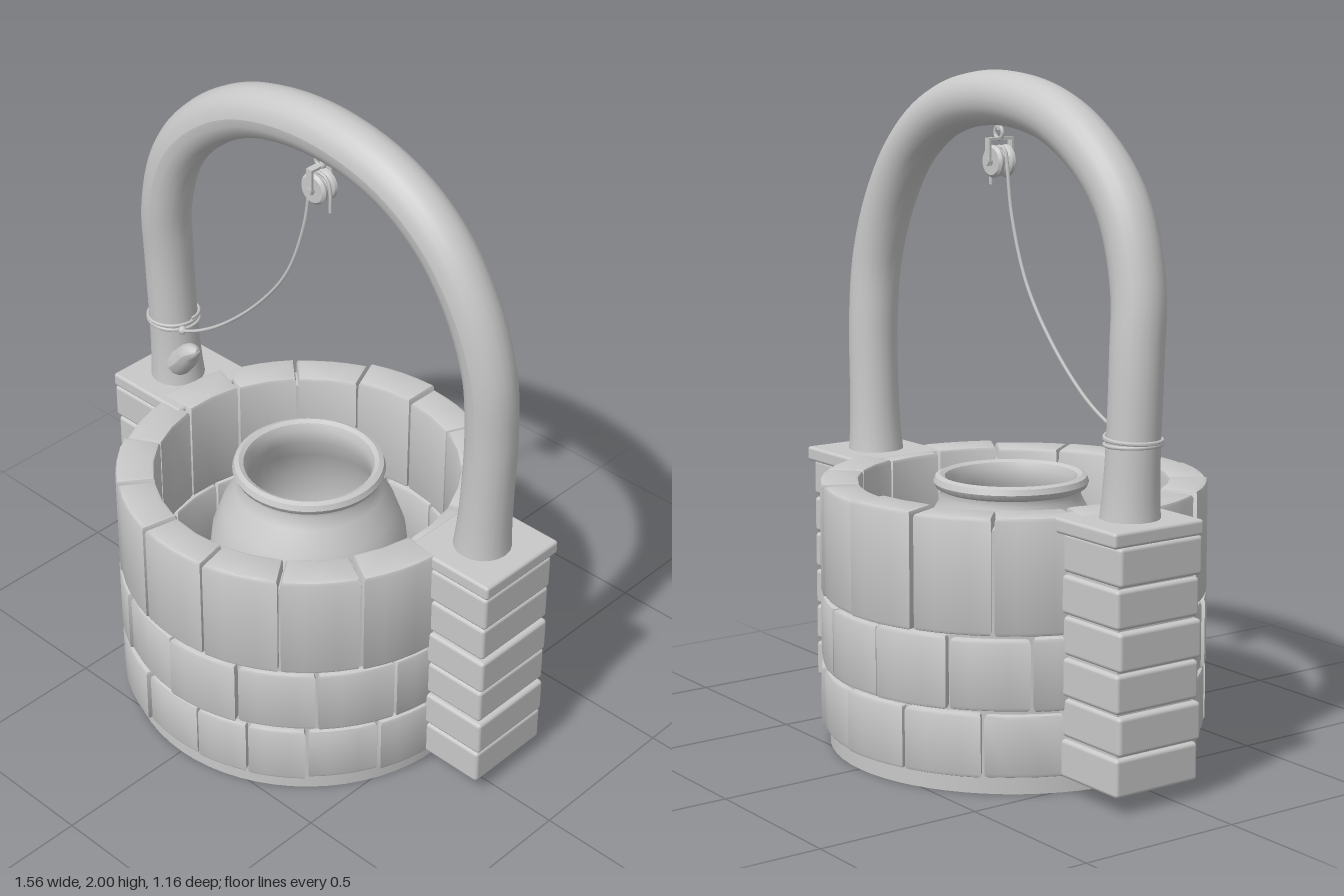
import * as THREE from 'three';
import { toCreasedNormals } from 'three/addons/utils/BufferGeometryUtils.js';
import { RoundedBoxGeometry } from 'three/addons/geometries/RoundedBoxGeometry.js';

const clay = new THREE.MeshStandardMaterial({ color: 0xc8c8c8, side: THREE.DoubleSide });
clay.name = 'plain grey';

const v = (x, y, z) => new THREE.Vector3(x, y, z);
const pts2 = (list) => list.map(([x, y]) => new THREE.Vector2(x, y));

function add(parent, name, geometry, x = 0, y = 0, z = 0) {
  const mesh = new THREE.Mesh(geometry, clay);
  mesh.name = name;
  mesh.position.set(x, y, z);
  parent.add(mesh);
  return mesh;
}

// Tube through points whose radius follows a rule along its length
function taperedTube(points, radiusAt, segments, sides) {
  const curve = new THREE.CatmullRomCurve3(points);
  const geo = new THREE.TubeGeometry(curve, segments, 1, sides);
  const pos = geo.attributes.position, c = v(0, 0, 0), p = v(0, 0, 0);
  for (let i = 0; i < pos.count; i++) {
    const t = Math.floor(i / (sides + 1)) / segments;
    curve.getPointAt(t, c);
    p.fromBufferAttribute(pos, i).sub(c).multiplyScalar(radiusAt(t)).add(c);
    pos.setXYZ(i, p.x, p.y, p.z);
  }
  geo.computeVertexNormals();
  return geo;
}

// Wedge-shaped stone with rounded edges between two angles (degrees from the front)
function stoneGeometry(from, to, y0, y1, inner, outer) {
  const b = 0.012, steps = 4, corners = [];
  const rad = THREE.MathUtils.degToRad;
  const corner = (r, a) => corners.push(new THREE.Vector2(r * Math.sin(a), -r * Math.cos(a)));
  const gap = b + 0.004;
  const a0 = rad(from), a1 = rad(to), ro = outer - b, ri = inner + b;
  for (let i = 0; i <= steps; i++) {
    corner(ro, THREE.MathUtils.lerp(a0 + gap / ro, a1 - gap / ro, i / steps));
  }
  for (let i = 2; i >= 0; i--) {
    corner(ri, THREE.MathUtils.lerp(a0 + gap / ri, a1 - gap / ri, i / 2));
  }
  const geo = new THREE.ExtrudeGeometry(new THREE.Shape(corners), {
    depth: y1 - y0 - 2 * b, bevelThickness: b, bevelSize: b, bevelSegments: 2,
  });
  geo.rotateX(-Math.PI / 2).translate(0, y0 + b, 0);
  return toCreasedNormals(geo, 0.6);
}

function buildWall() {
  const wall = new THREE.Group();
  wall.name = 'stoneWall';
  // Mortar ring behind the stones, with an open channel underneath
  const profile = pts2([[0.5, 0.03], [0.5, 0], [0.478, 0], [0.478, 0.76], [0.553, 0.76],
    [0.553, 0], [0.525, 0], [0.525, 0.03]]);
  add(wall, 'mortarRing', toCreasedNormals(new THREE.LatheGeometry(profile, 64), 0.5));

  const even = (start) => Array.from({ length: 15 }, (_, i) => start + i * 24);
  const rows = [
    { y0: 0.05, y1: 0.237, joints: [9, 26, 44, 66, 87, 108, 128, 153, 177, 201, 225, 249, 273, 298, 322, 347] },
    { y0: 0.243, y1: 0.455, joints: even(-1) },
    { y0: 0.46, y1: 0.8, joints: even(12) },
  ];
  rows.forEach(({ y0, y1, joints }, r) => joints.forEach((from, i) => {
    const to = i + 1 < joints.length ? joints[i + 1] : joints[0] + 360;
    const wobble = Math.sin(i * 2.4 + r * 1.7);
    add(wall, 'wallStone', stoneGeometry(from, to, y0, y1 + 0.004 * wobble, 0.46, 0.574 + 0.005 * wobble));
  }));
  return wall;
}

function buildPillar(side) {
  const pillar = new THREE.Group();
  pillar.name = side > 0 ? 'leftPillar' : 'rightPillar';
  for (let i = 0; i < 6; i++) {
    const shift = (i % 2) * 0.007;
    add(pillar, 'pillarBlock', new RoundedBoxGeometry(0.28, 0.112, 0.292, 2, 0.012),
      side * (0.632 + shift), 0.106 + i * 0.1185, -0.073 + shift * 0.6);
  }
  add(pillar, 'pillarCore', new THREE.BoxGeometry(0.25, 0.7, 0.265), side * 0.632, 0.41, -0.073);
  add(pillar, 'pillarCap', new RoundedBoxGeometry(0.3, 0.045, 0.315, 2, 0.01), side * 0.632, 0.777, -0.08);
  return pillar;
}

function buildArch() {
  const arch = new THREE.Group();
  arch.name = 'bentTrunkArch';
  const path = [
    v(-0.643, 0.77, -0.075), v(-0.65, 1.0, -0.07), v(-0.65, 1.25, -0.06), v(-0.635, 1.43, -0.045),
    v(-0.57, 1.63, -0.04), v(-0.455, 1.77, -0.045), v(-0.27, 1.88, -0.05), v(0, 1.923, -0.05),
    v(0.27, 1.877, -0.045), v(0.45, 1.765, -0.045), v(0.57, 1.6, -0.05), v(0.637, 1.4, -0.06),
    v(0.648, 1.2, -0.07), v(0.642, 1.0, -0.073), v(0.63, 0.77, -0.075),
  ];
  const radius = (t) => 0.073 + 0.007 * Math.sin(Math.PI * t) + 0.016 * Math.pow(Math.abs(2 * t - 1), 14);
  add(arch, 'trunk', taperedTube(path, radius, 90, 20));
  // Short stub of a cut branch on the right leg
  const stub = [v(-0.6, 0.87, -0.04), v(-0.555, 0.915, -0.03), v(-0.525, 0.95, -0.02), v(-0.485, 0.975, -0.015)];
  add(arch, 'branchStub', taperedTube(stub, (t) => 0.043 * Math.sqrt(1 - t * t * 0.97), 14, 12));
  return arch;
}

function buildPulley() {
  const pulley = new THREE.Group();
  pulley.name = 'pulley';
  // Grooved wheel turning about the z axis
  const wheel = pts2([[0, -0.032], [0.04, -0.032], [0.048, -0.024], [0.046, -0.014], [0.028, 0],
    [0.046, 0.014], [0.048, 0.024], [0.04, 0.032], [0, 0.032]]);
  add(pulley, 'wheel', toCreasedNormals(new THREE.LatheGeometry(wheel, 24).rotateX(Math.PI / 2), 0.6), 0, 1.74, -0.05);
  add(pulley, 'axle', new THREE.CylinderGeometry(0.012, 0.012, 0.096, 12).rotateX(Math.PI / 2), 0, 1.74, -0.05);
  for (const s of [-1, 1]) {
    add(pulley, 'bracketArm', new THREE.BoxGeometry(0.022, 0.075, 0.007), 0, 1.768, -0.05 + s * 0.04);
  }
  add(pulley, 'bracketTop', new THREE.BoxGeometry(0.022, 0.008, 0.087), 0, 1.805, -0.05);
  add(pulley, 'hangingRing', new THREE.TorusGeometry(0.018, 0.006, 8, 18), 0.003, 1.822, -0.05);
  add(pulley, 'hook', new THREE.CylinderGeometry(0.008, 0.008, 0.04, 10), 0, 1.85, -0.05);
  return pulley;
}

function buildRope() {
  const rope = new THREE.Group();
  rope.name = 'rope';
  const strand = (name, points, n) =>
    add(rope, name, new THREE.TubeGeometry(new THREE.CatmullRomCurve3(points), n, 0.0055, 7));
  strand('slackRope', [v(0.042, 1.67, -0.05), v(0.041, 1.74, -0.05), v(0.028, 1.772, -0.05), v(0, 1.782, -0.05),
    v(-0.028, 1.772, -0.05), v(-0.038, 1.73, -0.05), v(-0.06, 1.59, -0.05), v(-0.13, 1.4, -0.05),
    v(-0.25, 1.24, -0.05), v(-0.4, 1.1, -0.045), v(-0.5, 1.035, -0.035), v(-0.575, 1.005, -0.025)], 60);
  // Turns wrapped around the right leg
  const turns = Array.from({ length: 49 }, (_, i) => {
    const a = (i / 16) * Math.PI * 2;
    return v(-0.65 + 0.08 * Math.cos(a), 1.0 + 0.028 * i / 48 + 0.005 * Math.sin(a * 0.7), -0.07 + 0.08 * Math.sin(a));
  });
  strand('wrappedRope', turns, 120);
  add(rope, 'knot', new THREE.SphereGeometry(0.014, 10, 8), -0.568, 1.008, -0.03);
  return rope;
}

function buildPot() {
  // Round-bellied jar with a rolled rim and hollow inside
  const profile = pts2([[0, 0.05], [0.135, 0.05], [0.15, 0.062], [0.215, 0.15], [0.27, 0.26], [0.3, 0.37],
    [0.308, 0.46], [0.297, 0.56], [0.265, 0.65], [0.225, 0.715], [0.207, 0.75], [0.21, 0.768],
    [0.225, 0.775], [0.232, 0.79], [0.226, 0.807], [0.212, 0.813], [0.198, 0.806], [0.19, 0.785],
    [0.19, 0.74], [0.235, 0.66], [0.27, 0.56], [0.28, 0.46], [0.25, 0.3], [0.19, 0.17], [0.13, 0.1], [0, 0.085]]);
  const pot = new THREE.Group();
  pot.name = 'pot';
  add(pot, 'jar', toCreasedNormals(new THREE.LatheGeometry(profile, 48), 0.7), 0, 0, -0.008);
  return pot;
}

export function createModel() {
  const well = new THREE.Group();
  well.name = 'well';
  well.add(buildWall(), buildPillar(1), buildPillar(-1), buildArch(), buildPulley(), buildRope(), buildPot());
  return well;
}
